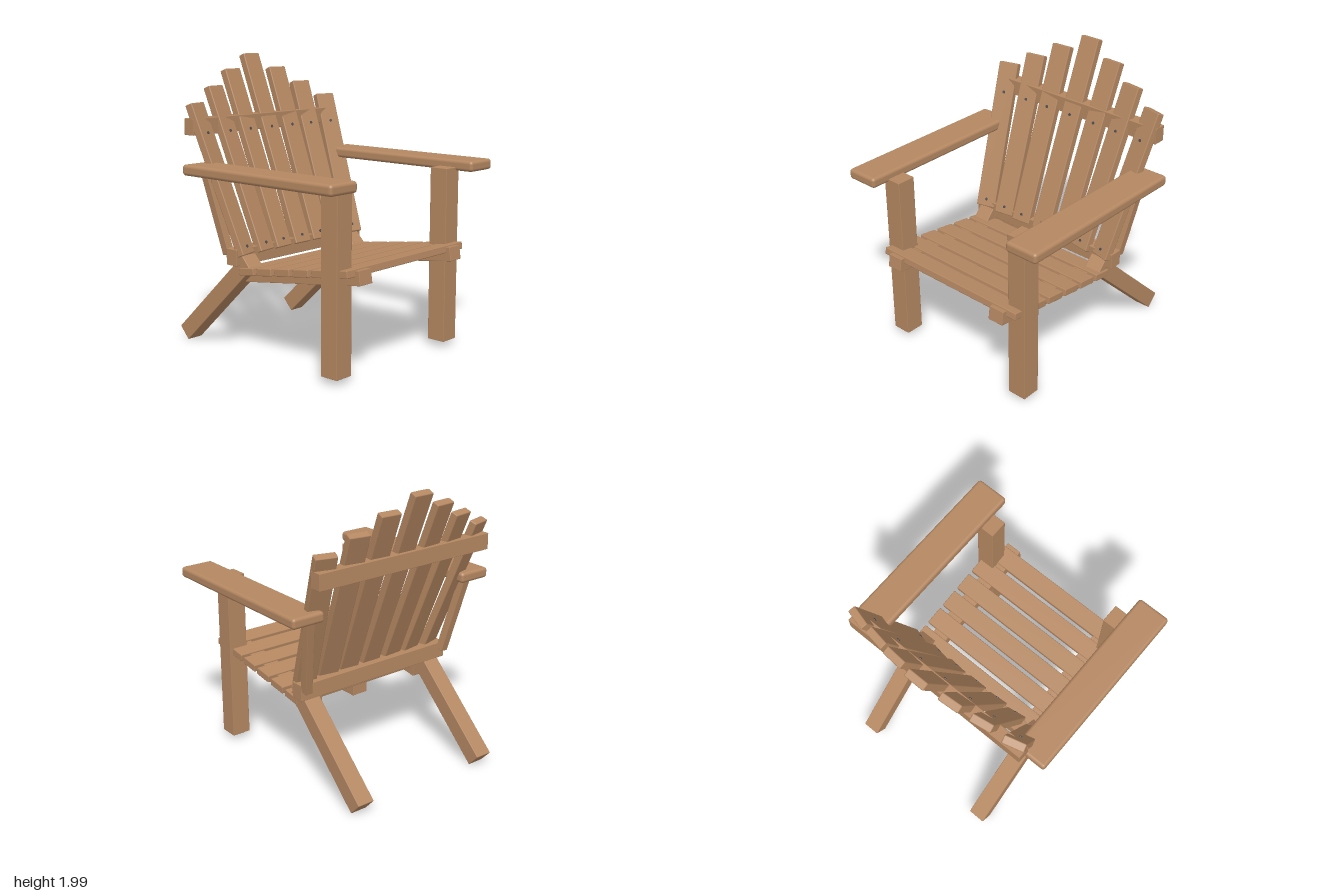
import * as THREE from 'three';
import { RoundedBoxGeometry } from 'three/addons/geometries/RoundedBoxGeometry.js';

export function createModel() {
  const chair = new THREE.Group();
  chair.name = 'gardenChair';
  const wood = new THREE.MeshStandardMaterial({ color: 0xb48761 });
  wood.name = 'wood';
  const steel = new THREE.MeshStandardMaterial({ color: 0x4a4c50 });
  steel.name = 'screwSteel';

  // One board: size, centre, tilt about x, edge rounding
  function board(name, [w, h, d], [x, y, z], tilt = 0, radius = 0.004, parent = chair) {
    const mesh = new THREE.Mesh(new RoundedBoxGeometry(w, h, d, radius > 0.01 ? 3 : 1, radius), wood);
    mesh.name = name;
    mesh.position.set(x, y, z);
    mesh.rotation.x = tilt;
    parent.add(mesh);
    return mesh;
  }

  // Paired parts
  const seatTilt = -0.139;
  for (const [side, s] of [['left', 1], ['right', -1]]) {
    board(side + 'FrontLeg', [0.137, 1.205, 0.135], [s * 0.55, 0.645, 0.63]);
    board(side + 'Armrest', [0.24, 0.073, 1.32], [s * 0.70, 1.26, 0.17], 0, 0.022);
    board(side + 'SeatRail', [0.116, 0.095, 1.02], [s * 0.463, 0.617, 0.288], seatTilt);
    board(side + 'BackLeg', [0.122, 0.117, 0.884], [s * 0.52, 0.348, -0.462], -0.752);

    // Leaning post from the lower crossbar to the armrest
    const low = new THREE.Vector3(s * 0.59, 0.69, -0.298);
    const high = new THREE.Vector3(s * 0.66, 1.235, -0.428);
    const along = high.clone().sub(low);
    const post = board(side + 'ArmSupport', [0.055, along.length(), 0.058],
      low.clone().add(high).multiplyScalar(0.5).toArray());
    post.quaternion.setFromUnitVectors(new THREE.Vector3(0, 1, 0), along.normalize());
  }

  // Seat slats resting on the sloping rails
  for (let i = 0; i < 6; i++) {
    const z = 0.69 - i * 0.1635;
    board('seatSlat' + (i + 1), [1.19, 0.05, 0.136], [0, 0.651 + 0.14 * (z - 0.288), z], seatTilt, 0.006);
  }

  // Crossbars behind the back
  board('lowerCrossbar', [1.245, 0.112, 0.097], [0, 0.68, -0.237]);
  board('upperCrossbar', [1.40, 0.112, 0.09], [0, 1.53, -0.552]);

  // Fan of back slats; each group origin is the lower front edge of its slat
  const lean = 0.377, thick = 0.055, footY = 0.70;
  const screwGeometry = new THREE.CylinderGeometry(0.01, 0.01, 0.008, 12).rotateX(Math.PI / 2);
  const fan = [ // x, yaw in degrees, top height
    [0, 0, 2.0], [0.185, 4, 1.9], [0.35, 9, 1.793], [0.525, 15, 1.69],
  ];
  for (let i = -3; i <= 3; i++) {
    const [x, yaw, top] = fan[Math.abs(i)];
    const side = Math.sign(i);
    const slat = new THREE.Group();
    slat.name = 'backSlat' + (i + 4);
    slat.position.set(side * x, footY, -0.165);
    slat.rotation.set(-lean, -side * THREE.MathUtils.degToRad(yaw), 0, 'YXZ');
    const length = (top - footY) / Math.cos(lean);
    board('slatBoard', [0.148, length, thick], [0, length / 2, -thick / 2], 0, 0.007, slat);
    for (const y of [0.75, 1.49]) {
      const screw = new THREE.Mesh(screwGeometry, steel);
      screw.name = 'screw';
      screw.position.set(0, (y - footY) / Math.cos(lean), 0.001);
      slat.add(screw);
    }
    chair.add(slat);
  }
  return chair;
}
